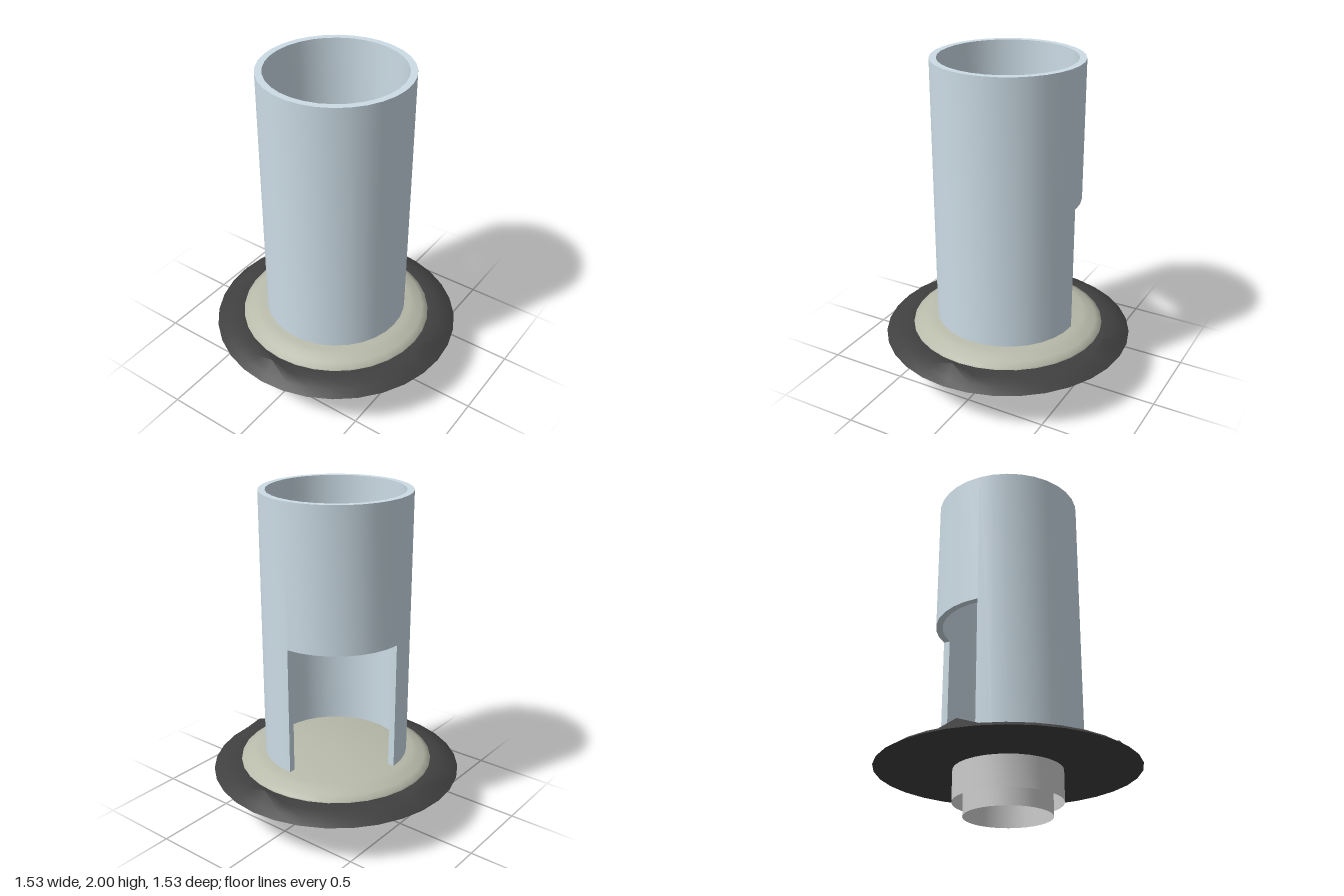
import * as THREE from 'three';
import { mergeGeometries, toCreasedNormals } from 'three/addons/utils/BufferGeometryUtils.js';

const SEGMENTS = 32;

function lathe(profile, segments = SEGMENTS, start = 0, length = Math.PI * 2) {
  return new THREE.LatheGeometry(profile.map(([r, y]) => new THREE.Vector2(r, y)), segments, start, length);
}

function part(name, geometry, color, crease = 0.6) {
  const material = new THREE.MeshStandardMaterial({ color, side: THREE.DoubleSide });
  const mesh = new THREE.Mesh(toCreasedNormals(geometry, crease), material);
  mesh.name = name;
  return mesh;
}

export function createModel() {
  const group = new THREE.Group();
  group.name = 'tubeOnFlange';

  // Tall tube with a quarter-turn doorway at the back (-x, -z)
  const inner = 0.4, outer = 0.44, bottom = 0.38, top = 2, doorTop = 1.16;
  const wall = (low) => [[inner, low], [outer, low], [outer, top], [inner, top], [inner, low]];
  const threeQuarters = lathe(wall(bottom), SEGMENTS * 0.75, Math.PI * 1.5, Math.PI * 1.5);
  const aboveDoor = lathe(wall(doorTop), SEGMENTS / 4, Math.PI, Math.PI / 2);
  // End faces of the wall on both sides of the doorway
  const jamb = (angle, x, z) => new THREE.PlaneGeometry(outer - inner, doorTop - bottom)
    .rotateY(angle).translate(x, (doorTop + bottom) / 2, z);
  const mid = (inner + outer) / 2;
  group.add(part('tube', mergeGeometries([
    threeQuarters, aboveDoor,
    jamb(Math.PI, -mid, 0),
    jamb(-Math.PI / 2, 0, -mid),
  ]), 0xccdce6));

  // Domed floor plate under the tube
  group.add(part('floorPlate', lathe([
    [0.595, 0.31], [0.59, 0.33], [0.555, 0.347], [0.515, 0.368], [0.475, 0.38], [0, 0.38],
  ]), 0xb8baaa, 0.9));

  // Dark flange with a small raised point at each quarter
  const flange = lathe([
    [0, 0.265], [0.765, 0.265], [0.72, 0.295], [0.66, 0.315], [0.6, 0.32], [0.56, 0.315],
  ]);
  const p = flange.attributes.position;
  for (let i = 0; i < p.count; i++) {
    const x = Math.abs(p.getX(i)), z = Math.abs(p.getZ(i));
    if (Math.min(x, z) < 0.001 && Math.abs(Math.max(x, z) - 0.66) < 0.001) p.setY(i, 0.358);
  }
  group.add(part('flange', flange, 0x404040, 0.9));

  // Two nested open pipes underneath
  for (const [name, radius, low] of [['outerCollar', 0.318, 0.08], ['innerSpigot', 0.255, 0]]) {
    group.add(part(name, lathe([[radius, low], [radius, 0.265]]), 0xcccccc));
  }

  return group;
}
